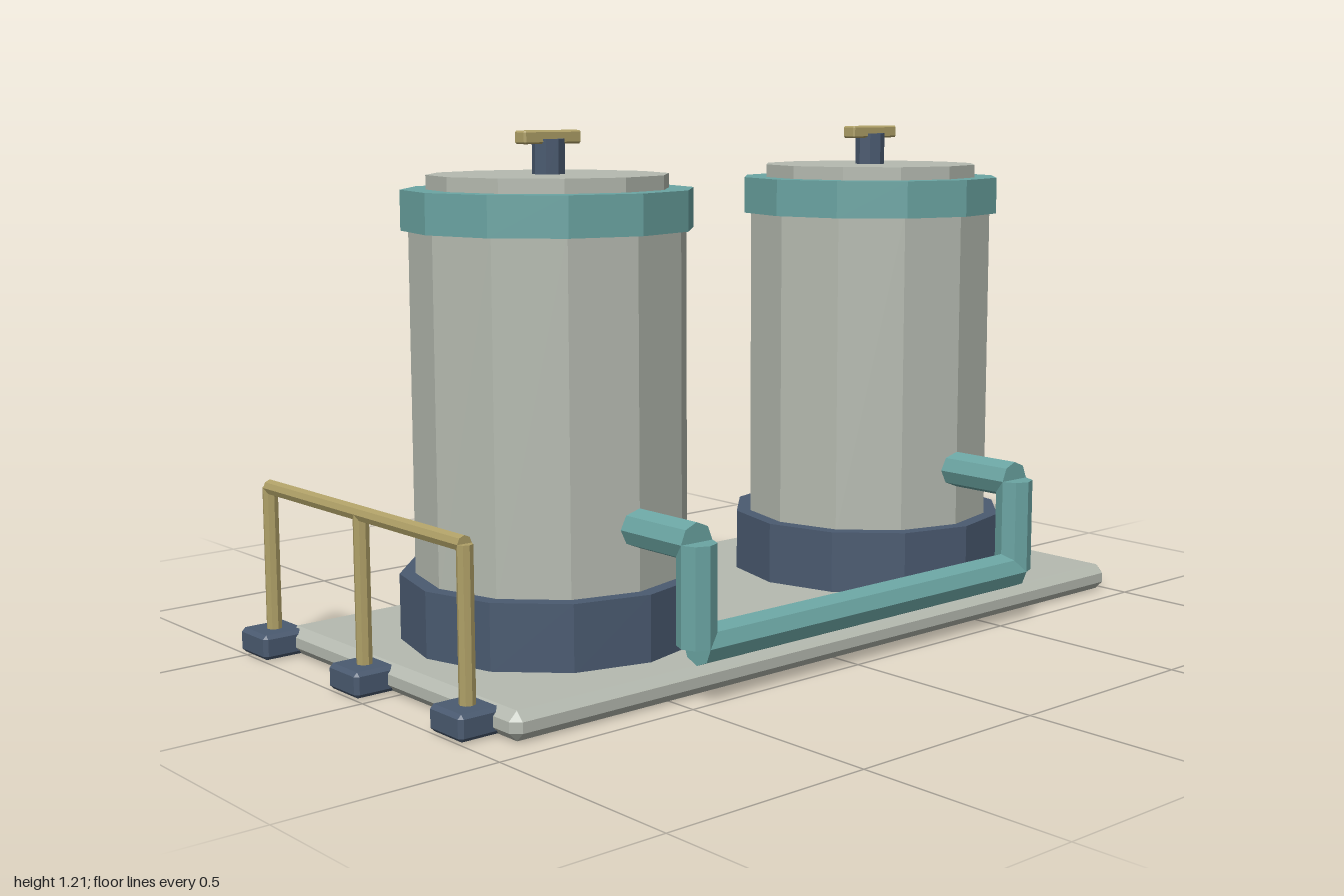
import * as THREE from 'three';
import { ConvexGeometry } from 'three/addons/geometries/ConvexGeometry.js';

const material = (name, color) => {
  const m = new THREE.MeshStandardMaterial({ color, flatShading: true });
  m.name = name;
  return m;
};

// Box centred on the origin with every edge chamfered by c
function chamferedBox(w, h, d, c) {
  const points = [];
  for (const x of [-1, 1]) for (const y of [-1, 1]) for (const z of [-1, 1]) {
    for (let axis = 0; axis < 3; axis++) {
      const inset = [c, c, c];
      inset[axis] = 0;
      points.push(new THREE.Vector3(
        x * (w / 2 - inset[0]), y * (h / 2 - inset[1]), z * (d / 2 - inset[2])));
    }
  }
  return new ConvexGeometry(points);
}

export function createModel() {
  const model = new THREE.Group();
  model.name = 'twinTankStation';

  const grey = material('paleGrey', 0xb5bab0);
  const teal = material('teal', 0x6ba5a3);
  const navy = material('slateBlue', 0x4a5a70);
  const gold = material('dullGold', 0xafa067);

  const add = (parent, name, geometry, mat, x, y, z) => {
    const mesh = new THREE.Mesh(geometry, mat);
    mesh.name = name;
    mesh.position.set(x, y, z);
    parent.add(mesh);
    return mesh;
  };

  // Upright faceted drum between two heights
  const drum = (parent, name, r, y0, y1, mat, sides = 12) =>
    add(parent, name, new THREE.CylinderGeometry(r, r, y1 - y0, sides), mat, 0, (y0 + y1) / 2, 0);

  // Straight eight-sided rod between two points
  const rod = (parent, name, r, from, to, mat) => {
    const a = new THREE.Vector3(...from), b = new THREE.Vector3(...to);
    const along = b.clone().sub(a);
    const mid = a.clone().add(b).multiplyScalar(0.5);
    const mesh = add(parent, name, new THREE.CylinderGeometry(r, r, along.length(), 8), mat, mid.x, mid.y, mid.z);
    mesh.quaternion.setFromUnitVectors(new THREE.Vector3(0, 1, 0), along.normalize());
    return mesh;
  };

  const midZ = -0.01;
  const tankXs = [-0.48, 0.553];

  // Platform
  add(model, 'platform', chamferedBox(1.92, 0.064, 0.902, 0.02), grey, 0.04, 0.032, midZ);

  // Tanks with plinth, collar, lid and valve handle
  tankXs.forEach((x, i) => {
    const tank = new THREE.Group();
    tank.name = i ? 'leftTank' : 'rightTank';
    tank.position.set(x, 0, midZ);
    drum(tank, 'tankPlinth', 0.349, 0.06, 0.215, navy);
    drum(tank, 'tankBody', 0.313, 0.2, 1.0, grey);
    drum(tank, 'tankCollar', 0.33, 0.99, 1.08, teal);
    drum(tank, 'tankLid', 0.273, 1.07, 1.112, grey);
    drum(tank, 'valveStem', 0.037, 1.1, 1.19, navy, 8);
    add(tank, 'valveHandle', chamferedBox(0.158, 0.03, 0.04, 0.004), gold, 0, 1.194, 0);
    model.add(tank);
  });

  // Pipe joining the two tanks at the front
  const pipe = new THREE.Group();
  pipe.name = 'connectingPipe';
  const pipeR = 0.044, pipeZ = 0.49, highY = 0.356, lowY = 0.133;
  for (const x of tankXs) {
    rod(pipe, 'pipeOutlet', pipeR, [x, highY, 0.27], [x, highY, pipeZ], teal);
    rod(pipe, 'pipeDrop', pipeR, [x, highY, pipeZ], [x, lowY, pipeZ], teal);
  }
  rod(pipe, 'pipeCrossing', pipeR, [tankXs[0], lowY, pipeZ], [tankXs[1], lowY, pipeZ], teal);
  model.add(pipe);

  // Handrail on three footed posts along the right end
  const railing = new THREE.Group();
  railing.name = 'railing';
  const railX = -0.942, railY = 0.393, railR = 0.018;
  const postZs = [-0.473, -0.082, 0.309];
  for (const z of postZs) {
    add(railing, 'railFoot', chamferedBox(0.116, 0.058, 0.116, 0.009), navy, railX, 0.031, z);
    rod(railing, 'railPost', railR, [railX, 0.05, z], [railX, railY, z], gold);
  }
  rod(railing, 'handrail', railR, [railX, railY, postZs[0]], [railX, railY, postZs[2]], gold);
  model.add(railing);

  return model;
}
